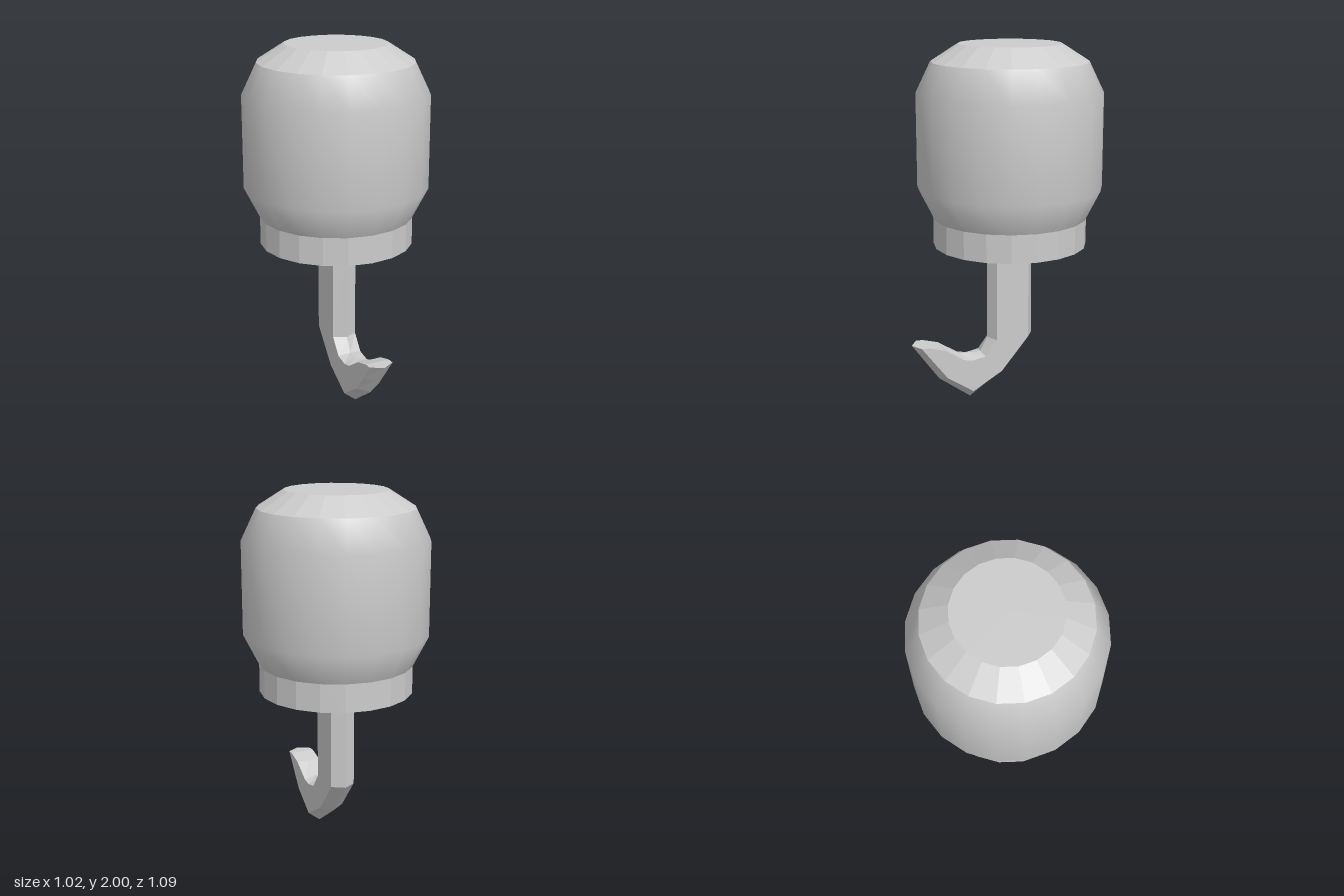
import * as THREE from 'three';

const grey = (flatShading) => new THREE.MeshStandardMaterial({ color: 0xcccccc, flatShading });

// Revolved part with 20 sides, from [radius, y] pairs going upward
function turned(name, profile, flat) {
  const points = profile.map(([r, y]) => new THREE.Vector2(r, y));
  const mesh = new THREE.Mesh(new THREE.LatheGeometry(points, 20), grey(flat));
  mesh.name = name;
  mesh.position.z = -0.035;
  return mesh;
}

// Six-sided hook lofted through mirrored sections
function hook() {
  const w = 0.07;
  // Each section as [z, y]: outer ridge, outer side, inner side, inner ridge
  const sections = [
    [[-0.165, 0.91], [-0.122, 0.91], [0.065, 0.91], [0.1, 0.91]],
    [[-0.165, 0.35], [-0.122, 0.35], [0.065, 0.35], [0.1, 0.35]],
    [[0.01, 0.14], [0.035, 0.16], [0.132, 0.26], [0.142, 0.27]],
    [[0.205, 0.005], [0.205, 0.06], [0.205, 0.245], [0.205, 0.27]],
    [[0.385, 0.135], [0.355, 0.16], [0.26, 0.255], [0.26, 0.27]],
    [[0.46, 0.239], [0.428, 0.255], [0.37, 0.325], [0.37, 0.325]],
    [[0.54, 0.35], [0.5, 0.35], [0.46, 0.35], [0.46, 0.35]],
  ];
  const positions = [];
  for (const [outer, outSide, inSide, inner] of sections) {
    const ring = [[0, outer], [w, outSide], [w, inSide], [0, inner], [-w, inSide], [-w, outSide]];
    for (const [x, [z, y]] of ring) positions.push(x, y, z);
  }
  const index = [];
  for (let i = 0; i < sections.length - 1; i++) {
    for (let j = 0; j < 6; j++) {
      const a = i * 6 + j, b = i * 6 + (j + 1) % 6;
      index.push(a, b, b + 6, a, b + 6, a + 6);
    }
  }
  // Close the tip
  const last = (sections.length - 1) * 6;
  for (let j = 1; j < 5; j++) index.push(last, last + j, last + j + 1);

  const geometry = new THREE.BufferGeometry();
  geometry.setAttribute('position', new THREE.Float32BufferAttribute(positions, 3));
  geometry.setIndex(index);
  const flat = geometry.toNonIndexed();
  flat.computeVertexNormals();
  const mesh = new THREE.Mesh(flat, grey(true));
  mesh.name = 'hook';
  return mesh;
}

export function createModel() {
  const model = new THREE.Group();
  model.name = 'hookHand';
  model.add(
    // Faceted collar with closed underside
    turned('collar', [[0, 0.895], [0.425, 0.895], [0.425, 1.05]], true),
    // Smooth rounded body
    turned('body', [[0.425, 1.05], [0.51, 1.22], [0.51, 1.735], [0.428, 1.905]], false),
    // Faceted bevel and flat top
    turned('cap', [[0.428, 1.905], [0.28, 2], [0, 2]], true),
    hook(),
  );
  return model;
}
